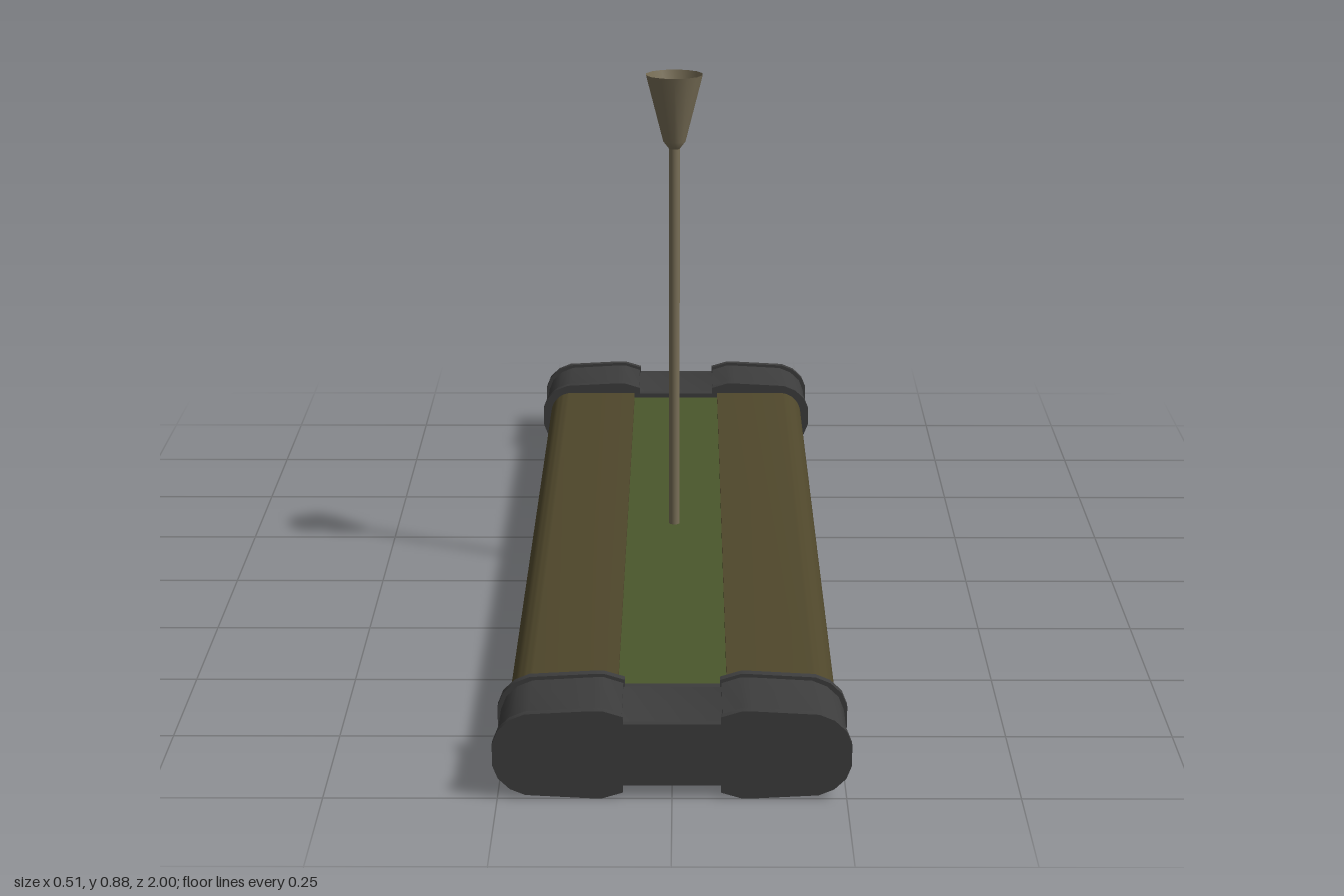
import * as THREE from 'three';
import { toCreasedNormals } from 'three/addons/utils/BufferGeometryUtils.js';

const MID = 0.067; // height of the bar's centre line

const material = (name, color, side = THREE.FrontSide) => {
  const m = new THREE.MeshStandardMaterial({ color, side });
  m.name = name;
  return m;
};

export function createModel() {
  const group = new THREE.Group();
  const brown = material('brown', 0x4f472b);
  const green = material('green', 0x4b572c);
  const charcoal = material('charcoal', 0x3d3d3d);
  const beige = material('beige', 0x796f57, THREE.DoubleSide);

  const add = (name, geometry, mat, parent = group) => {
    const mesh = new THREE.Mesh(geometry, mat);
    mesh.name = name;
    parent.add(mesh);
    return mesh;
  };

  // Extrude a cross-section between two z positions
  const extrude = (shape, z0, z1) => {
    const g = new THREE.ExtrudeGeometry(shape, { depth: z1 - z0, bevelEnabled: false, curveSegments: 6 });
    g.translate(0, MID, z0);
    return toCreasedNormals(g, 0.6);
  };

  // Long side rails with rounded outer edges
  for (const side of [1, -1]) {
    const r = 0.04, h = 0.047, inner = 0.08, outer = 0.242;
    const s = new THREE.Shape();
    s.moveTo(inner, -h);
    s.lineTo(outer - r, -h);
    s.absarc(outer - r, -h + r, r, -Math.PI / 2, 0);
    s.absarc(outer - r, h - r, r, 0, Math.PI / 2);
    s.lineTo(inner, h);
    s.closePath();
    const rail = add(side > 0 ? 'leftRail' : 'rightRail', extrude(s, -0.85, 0.85), brown);
    if (side < 0) rail.rotation.y = Math.PI; // symmetric along z
  }

  // Sunken middle panel
  const panel = new THREE.BoxGeometry(0.164, 0.076, 1.7);
  panel.translate(0, MID, 0);
  add('centrePanel', panel, green);

  // End caps: dumbbell section with a raised rim at each end
  const quarter = [[0.07, 0.046], [0.07, 0.057], [0.1, 0.066], [0.115, 0.066],
    [0.21, 0.061], [0.232, 0.052], [0.249, 0.036], [0.257, 0.016]];
  const capShape = (inset) => {
    const q = quarter.map(([x, y], i) => [
      i < 2 ? x + inset * 0.4 : x - (x > 0.2 ? inset : 0), i === 0 ? y : y - inset]);
    const back = [...q].reverse();
    const pts = [
      ...q, ...back.map(([x, y]) => [x, -y]),
      ...q.map(([x, y]) => [-x, -y]), ...back.map(([x, y]) => [-x, y])];
    return new THREE.Shape(pts.map(([x, y]) => new THREE.Vector2(x, y)));
  };
  for (const side of [1, -1]) {
    const cap = new THREE.Group();
    cap.name = side > 0 ? 'frontCap' : 'backCap';
    add('capBody', extrude(capShape(0.005), 0.842, 0.988), charcoal, cap);
    add('innerRim', extrude(capShape(0), 0.828, 0.843), charcoal, cap);
    add('outerRim', extrude(capShape(0), 0.987, 1), charcoal, cap);
    if (side < 0) cap.rotation.y = Math.PI;
    group.add(cap);
  }

  // Hanging rod
  const rod = new THREE.CylinderGeometry(0.009, 0.009, 0.67, 12);
  rod.translate(0, 0.435, 0);
  add('rod', rod, beige);

  // Open ceiling cup
  const cup = new THREE.LatheGeometry(
    [[0.009, 0.755], [0.019, 0.768], [0.048, 0.88]].map(([x, y]) => new THREE.Vector2(x, y)), 14);
  add('ceilingCup', cup, beige);

  // Shallow open dish under the panel
  const dish = new THREE.LatheGeometry(
    [[0.062, 0.019], [0.062, 0.031], [0.05, 0.0285], [0, 0.0285]].map(([x, y]) => new THREE.Vector2(x, y)), 24);
  add('underDish', toCreasedNormals(dish, 0.6), beige);

  return group;
}
